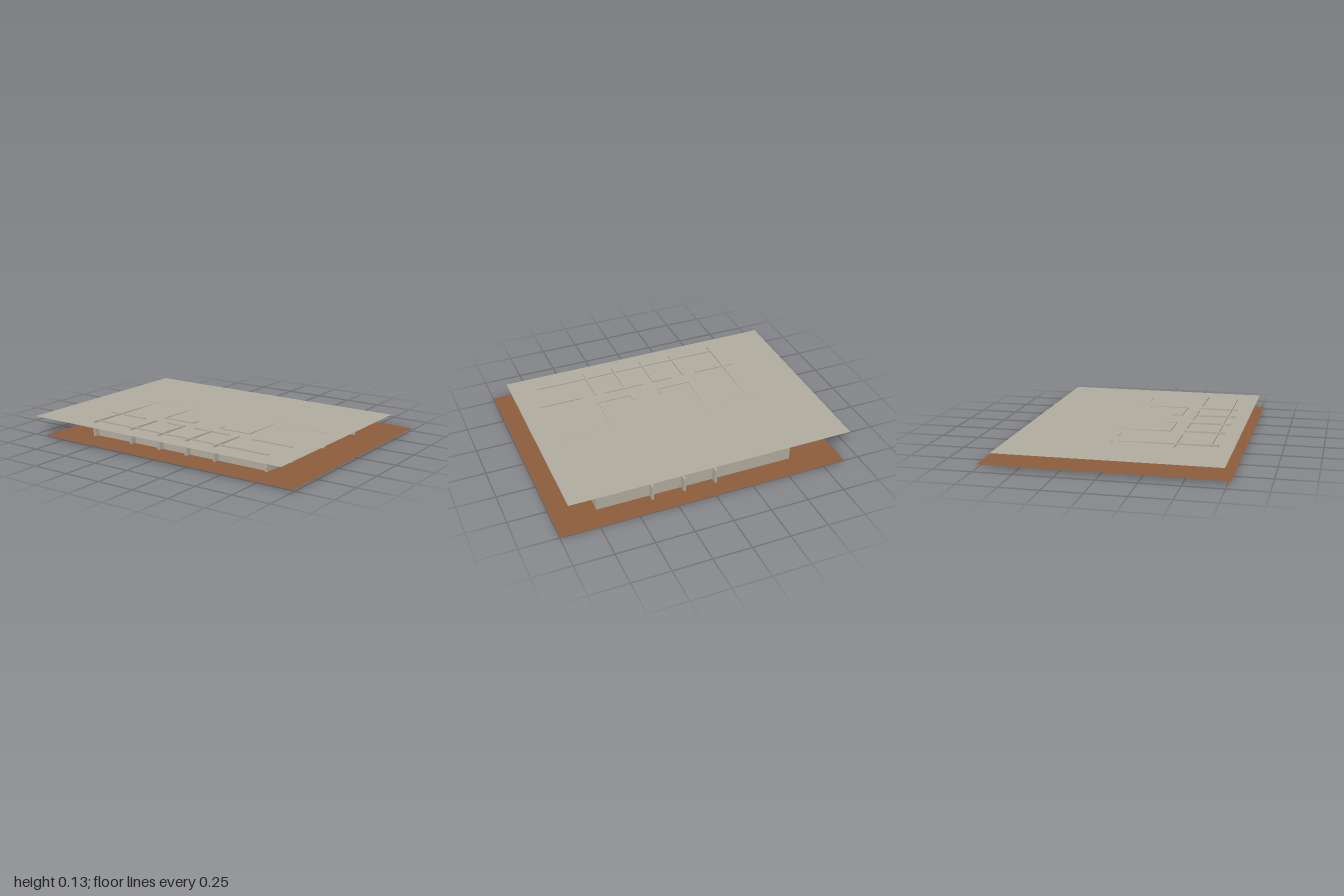
import * as THREE from 'three';

export function createModel() {
  const model = new THREE.Group();
  model.name = 'floorPlan';

  const concrete = new THREE.MeshStandardMaterial({ color: 0xb0ab9e, side: THREE.DoubleSide });
  concrete.name = 'concrete grey';
  const earth = new THREE.MeshStandardMaterial({ color: 0x8b5c3b, side: THREE.DoubleSide });
  earth.name = 'earth brown';

  // Flat sheets: ground and ceiling
  function sheet(name, material, x0, x1, z0, z1, y) {
    const geometry = new THREE.PlaneGeometry(x1 - x0, z1 - z0).rotateX(-Math.PI / 2);
    const mesh = new THREE.Mesh(geometry, material);
    mesh.position.set((x0 + x1) / 2, y, (z0 + z1) / 2);
    mesh.name = name;
    model.add(mesh);
  }
  sheet('ground', earth, -0.77, 0.765, -0.89, 1.0, 0.0095);
  sheet('ceiling', concrete, -0.745, 0.635, -1.0, 0.905, 0.117);

  // All walls share a slight slope down towards +x
  const walls = new THREE.Group();
  walls.name = 'walls';
  walls.rotation.z = -0.0175;
  walls.position.y = 0.0675;
  model.add(walls);

  const T = 0.013;
  function wall(name, x0, x1, z0, z1, drop = 0, height = 0.102) {
    const mesh = new THREE.Mesh(new THREE.BoxGeometry(x1 - x0, height, z1 - z0), concrete);
    mesh.position.set((x0 + x1) / 2, -drop, (z0 + z1) / 2);
    mesh.name = name;
    walls.add(mesh);
  }
  const alongX = (name, z, x0, x1, drop, h) => wall(name, x0, x1, z - T / 2, z + T / 2, drop, h);
  const alongZ = (name, x, z0, z1, drop, h) => wall(name, x - T / 2, x + T / 2, z0, z1, drop, h);

  // Outer walls
  alongX('backWall', -0.57, -0.65, 0.61);
  alongX('frontWall', 0.72, -0.61, 0.61, 0.011, 0.1);
  alongZ('rightOuterWall', -0.602, -0.575, 0.725, 0.003);
  alongZ('leftOuterWall', 0.605, -0.575, 0.725, 0.005);

  // Cross walls between the side rooms, running past the outer walls
  for (const z of [-0.265, -0.042, 0.168, 0.377]) {
    alongX('rightCrossWall', z, -0.65, -0.388);
    if (z > -0.2) alongX('leftCrossWall', z, 0.405, 0.655);
  }

  // Partition pieces with door gaps
  for (const x of [-0.39, 0.405]) {
    alongZ('corridorWall', x, -0.175, -0.036);
    alongZ('corridorWall', x, 0.04, 0.31);
  }
  for (const x of [-0.39, 0.0, 0.405]) {
    alongZ('backPartition', x, -0.645, -0.36);
    alongZ('frontPartition', x, 0.475, 0.76);
  }

  // Courtyard: two facing U shapes with inward hooks
  for (const [zSide, zHook] of [[-0.267, -0.042], [0.392, 0.163]]) {
    alongX('courtyardWall', zSide, -0.303, 0.287);
    for (const [x, inward] of [[-0.297, 1], [0.28, -1]]) {
      alongZ('courtyardSide', x, Math.min(zSide, zHook), Math.max(zSide, zHook));
      const end = x + inward * 0.06;
      alongX('courtyardHook', zHook, Math.min(x, end), Math.max(x, end));
    }
  }

  return model;
}
